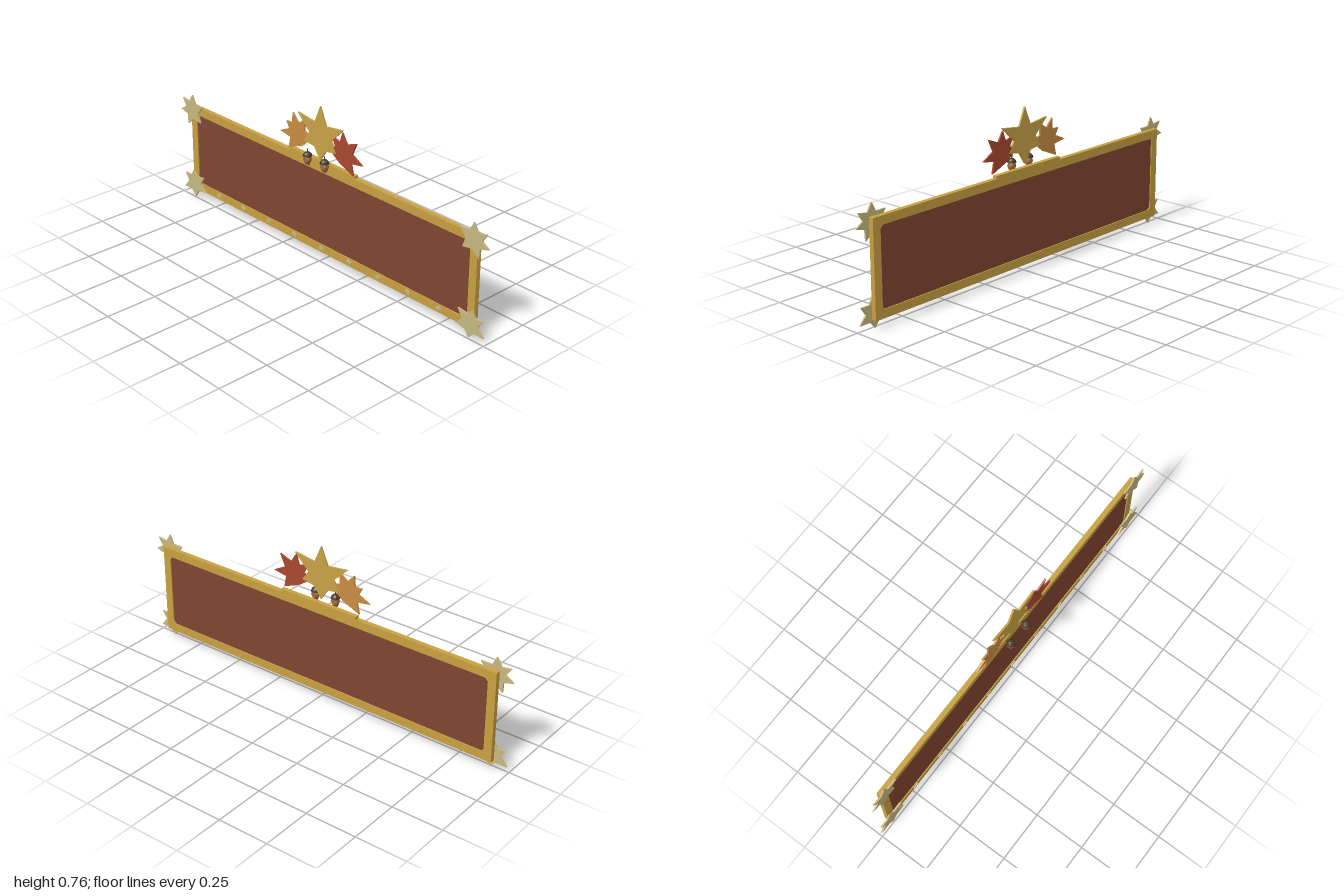
import * as THREE from 'three';

const mat = (name, color) => {
  const m = new THREE.MeshStandardMaterial({ color });
  m.name = name;
  return m;
};

export function createModel() {
  const gold = mat('gold', 0xc8a040);
  const brown = mat('panel brown', 0x804530);
  const leafGold = mat('leaf gold', 0xc8a245);
  const orange = mat('leaf orange', 0xc88c42);
  const red = mat('leaf red', 0xaa4830);
  const cream = mat('pale cream', 0xc8b880);
  const nutBrown = mat('nut brown', 0xa06c3c);
  const dark = mat('cap brown', 0x4c3a2a);
  nutBrown.flatShading = dark.flatShading = true;

  const group = new THREE.Group();
  const add = (name, geo, material, x, y, z, parent = group) => {
    const m = new THREE.Mesh(geo, material);
    m.name = name;
    m.position.set(x, y, z);
    parent.add(m);
    return m;
  };

  // Octagonal-cornered rectangle
  const outline = (P, w, h, c) => {
    const p = new P();
    [[-w + c, -h], [w - c, -h], [w, -h + c], [w, h - c], [w - c, h], [-w + c, h], [-w, h - c], [-w, -h + c]]
      .forEach(([x, y], i) => (i ? p.lineTo(x, y) : p.moveTo(x, y)));
    p.closePath();
    return p;
  };

  // Frame with a window, and the sign board inside it
  const frameShape = outline(THREE.Shape, 0.93, 0.222, 0.001);
  frameShape.holes.push(outline(THREE.Path, 0.89, 0.182, 0.014));
  add('frame', new THREE.ExtrudeGeometry(frameShape, { depth: 0.023, bevelEnabled: false }), gold, 0, 0.262, -0.037);
  add('panel', new THREE.BoxGeometry(1.79, 0.375, 0.013), brown, 0, 0.262, -0.0255);
  add('topStrip', new THREE.BoxGeometry(0.42, 0.014, 0.022), gold, 0, 0.49, -0.0255);

  // Spiky leaf from [angle in degrees, radius] tips, with a notch between neighbours
  const leaf = (name, tips, notch, material, x, y, z, depth, mirror = 1) => {
    const sorted = tips.map(([a, r]) => [(mirror < 0 ? 540 - a : a + 360) % 360, r]).sort((a, b) => a[0] - b[0]);
    const pts = [];
    const polar = (a, r) => pts.push(new THREE.Vector2(r * Math.cos(a * Math.PI / 180), r * Math.sin(a * Math.PI / 180)));
    sorted.forEach(([a, r], i) => {
      const next = i + 1 < sorted.length ? sorted[i + 1][0] : sorted[0][0] + 360;
      polar(a, r);
      polar((a + next) / 2, notch);
    });
    const geo = new THREE.ExtrudeGeometry(new THREE.Shape(pts), { depth, bevelEnabled: false });
    return add(name, geo, material, x, y, z);
  };

  // Crest leaves
  leaf('crestLeafCentre', [[90, 0.145], [27, 0.163], [153, 0.163], [-25, 0.115], [205, 0.115], [-90, 0.115]],
    0.07, leafGold, 0, 0.62, -0.0135, 0.009);
  leaf('crestLeafRight', [[189, 0.118], [150, 0.085], [108, 0.1], [60, 0.1], [5, 0.1], [235, 0.104]],
    0.056, orange, -0.15, 0.585, -0.013, 0.008);
  leaf('crestLeafLeft', [[-9, 0.118], [43, 0.11], [95, 0.1], [140, 0.1], [180, 0.1], [-55, 0.104]],
    0.056, red, 0.15, 0.585, -0.013, 0.008);

  // Corner leaves, mirrored left and right
  const upper = [[87, 0.08], [25, 0.088], [145, 0.083], [191, 0.085], [248, 0.085], [-40, 0.08]];
  const lower = [[98, 0.068], [35, 0.085], [-18, 0.085], [274, 0.07], [207, 0.088], [152, 0.08]];
  for (const s of [-1, 1]) {
    leaf('cornerLeafTop', upper, 0.045, cream, s * 0.915, 0.463, -0.0125, 0.008, -s);
    leaf('cornerLeafBottom', lower, 0.045, cream, s * 0.915, 0.07, -0.0125, 0.008, -s);
  }

  // Row of small tilted studs on the lower rail
  for (let i = 0; i < 9; i++) {
    const stud = add('railStud', new THREE.BoxGeometry(0.028, 0.016, 0.004), cream, (i - 4) * 0.183, 0.063, -0.012);
    stud.rotation.z = i % 2 ? -0.45 : 0.45;
  }

  // Two faceted acorns
  for (const x of [-0.057, 0.054]) {
    const acorn = new THREE.Group();
    acorn.name = 'acorn';
    acorn.position.set(x, 0.503, 0.018);
    group.add(acorn);
    const nut = add('nut', new THREE.IcosahedronGeometry(0.021, 0), nutBrown, 0, -0.002, 0, acorn);
    nut.scale.y = 1.6;
    const cap = add('cap', new THREE.SphereGeometry(0.022, 8, 3, 0, Math.PI * 2, 0, Math.PI / 2), dark, 0, 0.013, 0, acorn);
    cap.material.side = THREE.DoubleSide;
    cap.scale.y = 0.95;
    add('stem', new THREE.CylinderGeometry(0.0025, 0.003, 0.022, 5), dark, 0, 0.036, 0, acorn);
  }
  return group;
}
